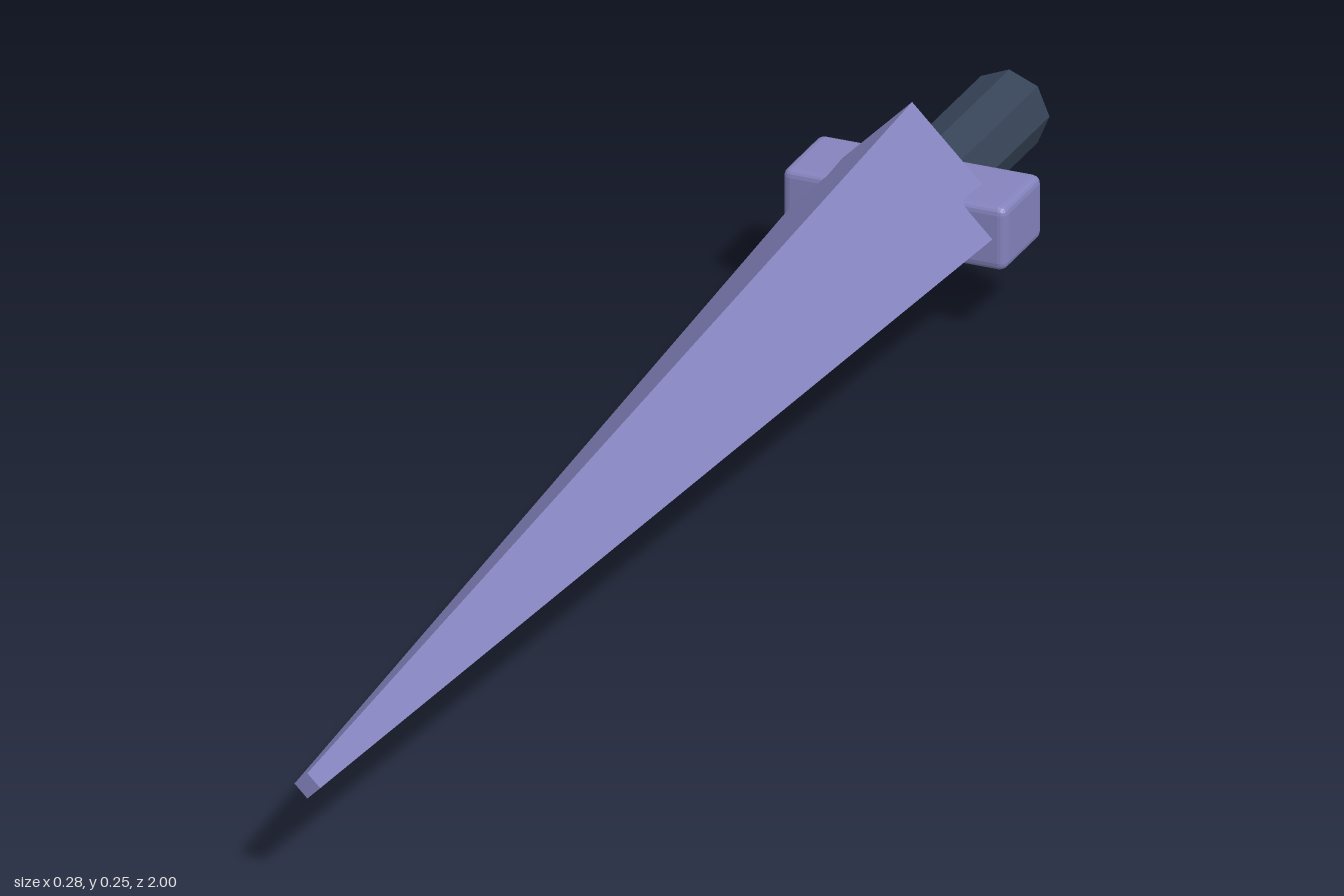
import * as THREE from 'three';
import { RoundedBoxGeometry } from 'three/addons/geometries/RoundedBoxGeometry.js';

const AXIS_Y = 0.127; // height of the long axis

export function createModel() {
  const group = new THREE.Group();
  const violet = new THREE.MeshStandardMaterial({ color: 0x8482bc, flatShading: true });
  violet.name = 'violet steel';
  const slate = new THREE.MeshStandardMaterial({ color: 0x364457, flatShading: true });
  slate.name = 'dark slate';

  const add = (name, geometry, material, z) => {
    const mesh = new THREE.Mesh(geometry, material);
    mesh.name = name;
    mesh.position.set(0, AXIS_Y, z);
    group.add(mesh);
  };
  // faceted rod lying along z, from the back to the front
  const rod = (name, rBack, rFront, sides, zBack, zFront, material) => {
    const g = new THREE.CylinderGeometry(rFront, rBack, zFront - zBack, sides);
    g.rotateX(Math.PI / 2);
    add(name, g, material, (zBack + zFront) / 2);
  };

  // four-sided tapering blade with a blunt tip
  rod('blade', 0.127, 0.016, 4, -0.723, 1, violet);
  // octagonal handle
  rod('handle', 0.05, 0.05, 8, -1, -0.7, slate);
  // crossguard with softened edges
  add('crossguard', new RoundedBoxGeometry(0.278, 0.08, 0.108, 2, 0.01), violet, -0.723);

  return group;
}
